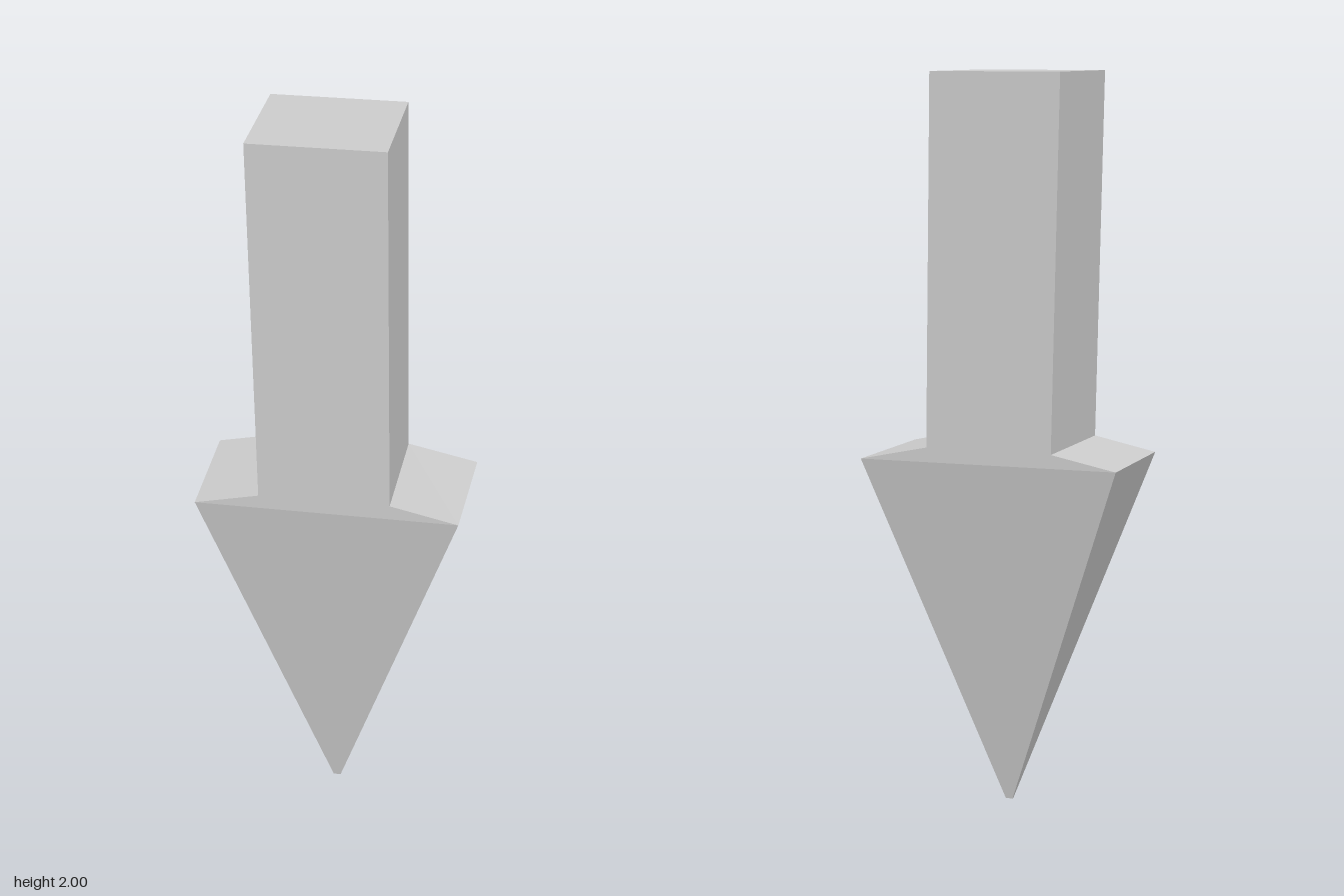
import * as THREE from 'three';

// Four corners of a section, counter-clockwise from above, starting front left.
const section = ({ front, back, z, yL, yR = yL }) => [
  [front[0], yL, z[1]], [front[1], yR, z[1]],
  [back[0], yR, z[0]], [back[1], yL, z[0]],
];

// Skins a stack of four-cornered sections, with optional end caps.
function loft(name, sections, { bottom = false, top = false }) {
  const positions = [];
  const quad = (a, b, c, d) => positions.push(...a, ...b, ...c, ...a, ...c, ...d);
  for (let s = 0; s < sections.length - 1; s++) {
    const low = sections[s], high = sections[s + 1];
    for (let i = 0; i < 4; i++) {
      const j = (i + 1) % 4;
      quad(low[i], low[j], high[j], high[i]);
    }
  }
  if (bottom) quad(...[...sections[0]].reverse());
  if (top) quad(...sections[sections.length - 1]);

  const geometry = new THREE.BufferGeometry();
  geometry.setAttribute('position', new THREE.Float32BufferAttribute(positions, 3));
  geometry.computeVertexNormals();
  const material = new THREE.MeshStandardMaterial({ color: 0xcccccc, flatShading: true });
  const mesh = new THREE.Mesh(geometry, material);
  mesh.name = name;
  return mesh;
}

export function createModel() {
  const group = new THREE.Group();
  group.name = 'downArrow';
  const depth = [-0.18, 0.18];

  const tip = section({ front: [-0.01, 0.01], back: [0.01, -0.01], z: [-0.003, 0.003], yL: 0 });
  const shoulder = section({ front: [-0.358, 0.354], back: [0.362, -0.364], z: depth, yL: 0.967, yR: 0.962 });
  const neck = section({ front: [-0.184, 0.17], back: [0.17, -0.184], z: depth, yL: 1.003 });
  const end = section({ front: [-0.207, 0.156], back: [0.156, -0.207], z: depth, yL: 2 });

  // Wedge head narrowing to the tip, with sloping shoulders
  group.add(loft('arrowHead', [tip, shoulder, neck], { bottom: true }));
  // Slightly leaning square shaft
  group.add(loft('shaft', [neck, end], { top: true }));
  return group;
}
